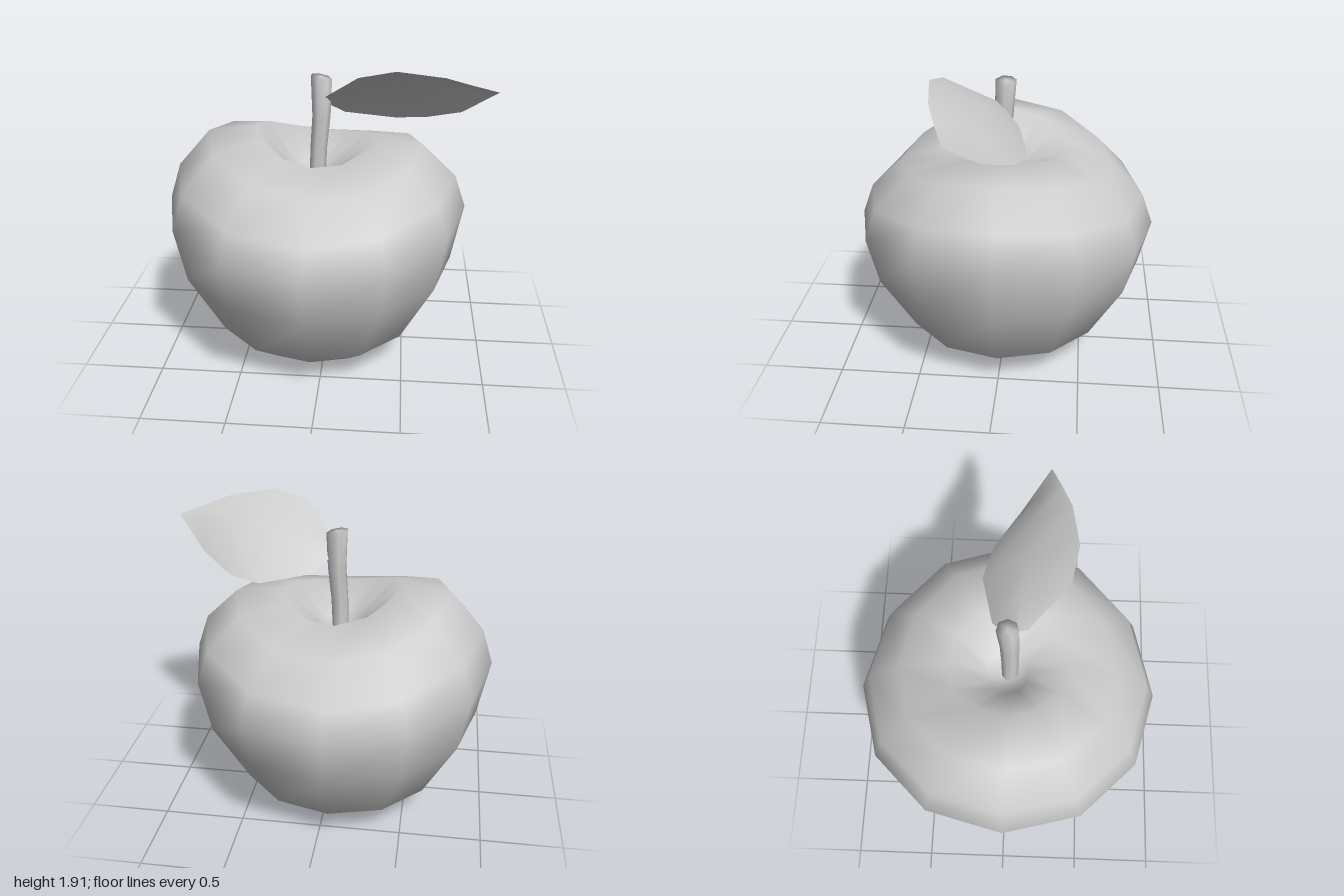
import * as THREE from 'three';
import { mergeVertices } from 'three/addons/utils/BufferGeometryUtils.js';

// Skin a grid of points (rows of equal length) with smooth normals
function skin(rows, closed) {
  const n = rows[0].length, index = [];
  for (let i = 0; i < rows.length - 1; i++) {
    for (let j = 0; j < (closed ? n : n - 1); j++) {
      const k = (j + 1) % n;
      const a = i * n + j, b = i * n + k, c = a + n, d = b + n;
      index.push(a, c, b, b, c, d);
    }
  }
  let geo = new THREE.BufferGeometry();
  geo.setAttribute('position', new THREE.Float32BufferAttribute(rows.flat(2), 3));
  geo.setIndex(index);
  geo = mergeVertices(geo, 1e-4);
  geo.computeVertexNormals();
  return geo;
}

// Ring of points: radius, height, saddle (raised at the sides), lean (raised at -x), centre
function ring(sides, [r, y, saddle = 0, lean = 0, cx = 0, cz = 0]) {
  return Array.from({ length: sides }, (_, j) => {
    const a = (j / sides) * Math.PI * 2;
    return [
      cx + r * Math.cos(a),
      y + saddle * Math.cos(2 * a) - lean * Math.cos(a),
      cz + r * Math.sin(a),
    ];
  });
}

export function createModel() {
  const group = new THREE.Group();
  const add = (name, geo, side = THREE.FrontSide) => {
    const mesh = new THREE.Mesh(geo, new THREE.MeshStandardMaterial({ color: 0xcccccc, side }));
    mesh.name = name;
    group.add(mesh);
    return mesh;
  };

  // Fruit body, from the dimple underneath to the pit at the top
  const bodyRings = [
    [0, 0.06], [0.24, 0.003], [0.45, 0.07], [0.64, 0.21],
    [0.86, 0.6, 0.02], [0.93, 0.92, 0.06], [0.86, 1.12, 0.07, 0.01],
    [0.66, 1.32, 0.08, 0.03], [0.36, 1.385, 0.05, 0.035],
    [0.13, 1.2], [0, 1.13],
  ];
  add('fruitBody', skin(bodyRings.map((r) => ring(12, r)), true)).position.x = -0.07;

  // Stem, slightly bent with a slanted top
  const stemRings = [
    [0.05, 1.08, 0, 0, -0.06, 0.015],
    [0.053, 1.34, 0, 0, -0.052, 0.015],
    [0.057, 1.55, 0, 0, -0.035, 0.01],
    [0.065, 1.78, 0, 0.012, -0.036, -0.002],
    [0, 1.785, 0, 0, -0.036, -0.002],
  ];
  add('stem', skin(stemRings.map((r) => ring(7, r)), true));

  // Leaf: front edge, midrib and back edge, from base to tip
  const tip = [0.99, 1.77, 0.22];
  const leafRows = [
    [[0, 1.69, 0.11], [0.2, 1.865, 0.335], [0.41, 1.915, 0.375], [0.68, 1.875, 0.335], [0.84, 1.82, 0.28], tip],
    [[0, 1.665, 0.05], [0.16, 1.725, 0.07], [0.41, 1.77, 0.08], [0.64, 1.775, 0.12], [0.82, 1.765, 0.17], tip],
    [[0, 1.62, 0], [0.1, 1.54, -0.095], [0.41, 1.49, -0.165], [0.6, 1.515, -0.11], [0.8, 1.6, 0.05], tip],
  ];
  add('leaf', skin(leafRows, false), THREE.DoubleSide);

  return group;
}
